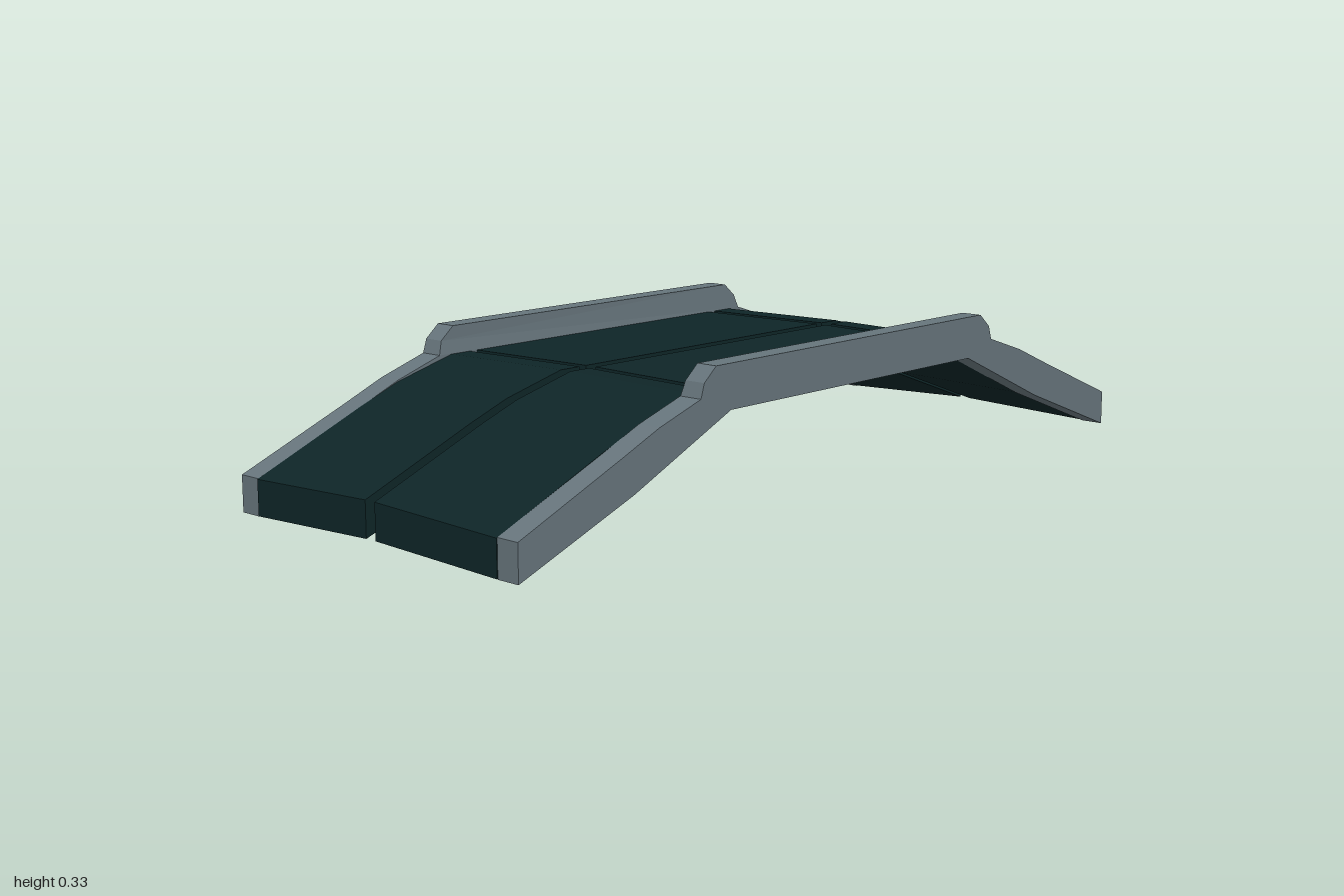
import * as THREE from 'three';

const railMat = new THREE.MeshStandardMaterial({ color: 0x66747b, flatShading: true });
const panelMat = new THREE.MeshStandardMaterial({ color: 0x0e2527, flatShading: true });

const INNER = 0.014, SEAM = 0.36, OUTER = 0.415;

// Extrude an x-y outline between two z values, then move its vertices by a rule
function slab(name, outline, z0, z1, material, rule) {
  const shape = new THREE.Shape(outline.map(([x, y]) => new THREE.Vector2(x, y)));
  const geo = new THREE.ExtrudeGeometry(shape, { depth: z1 - z0, bevelEnabled: false });
  geo.translate(0, 0, z0);
  const p = geo.attributes.position;
  const v = new THREE.Vector3();
  for (let i = 0; i < p.count; i++) {
    v.fromBufferAttribute(p, i);
    rule(v);
    p.setXYZ(i, v.x, v.y, v.z);
  }
  geo.computeVertexNormals();
  const mesh = new THREE.Mesh(geo, material);
  mesh.name = name;
  return mesh;
}

const mirrorX = pts => pts.map(([x, y]) => [-x, y]).reverse();

// Panels rise gently towards the centre line, more so at the ramp feet
function crown(v) {
  const t = (SEAM - Math.abs(v.z)) / (SEAM - INNER);
  const foot = THREE.MathUtils.clamp((Math.abs(v.x) - 0.46) / 0.54, 0, 1);
  v.y += t * THREE.MathUtils.lerp(0.005, 0.012, foot);
}

// Inner face of the rail leans outwards along its raised crest
function lean(v) {
  if (Math.abs(v.z) < 0.38 && v.y > 0.3) v.z += Math.sign(v.z) * 0.005;
}

export function createModel() {
  const model = new THREE.Group();
  model.name = 'bridge';

  const railHalf = [
    [0.41, 0.24], [0.69, 0.115], [0.995, 0.001], [0.995, 0.081],
    [0.72, 0.193], [0.62, 0.235], [0.5, 0.274], [0.49, 0.305], [0.455, 0.335],
  ];
  const railOutline = [...railHalf, ...mirrorX(railHalf)];
  const rampOutline = [
    [0.41, 0.24], [0.69, 0.116], [0.997, 0.002], [0.997, 0.08],
    [0.72, 0.194], [0.62, 0.232], [0.465, 0.273], [0.41, 0.273],
  ];
  const deckOutline = [[-0.39, 0.242], [0.39, 0.242], [0.39, 0.273], [-0.39, 0.273]];

  for (const [side, s] of [['front', 1], ['back', -1]]) {
    const span = (a, b) => (s > 0 ? [a, b] : [-b, -a]);
    // Side rail
    model.add(slab(side + 'Rail', railOutline, ...span(SEAM, OUTER), railMat, lean));
    // Flat deck panel with a ramp panel at each end
    const z = span(INNER, SEAM);
    model.add(slab(side + 'DeckPanel', deckOutline, ...z, panelMat, crown));
    model.add(slab(side + 'LeftRampPanel', rampOutline, ...z, panelMat, crown));
    model.add(slab(side + 'RightRampPanel', mirrorX(rampOutline), ...z, panelMat, crown));
  }
  return model;
}
